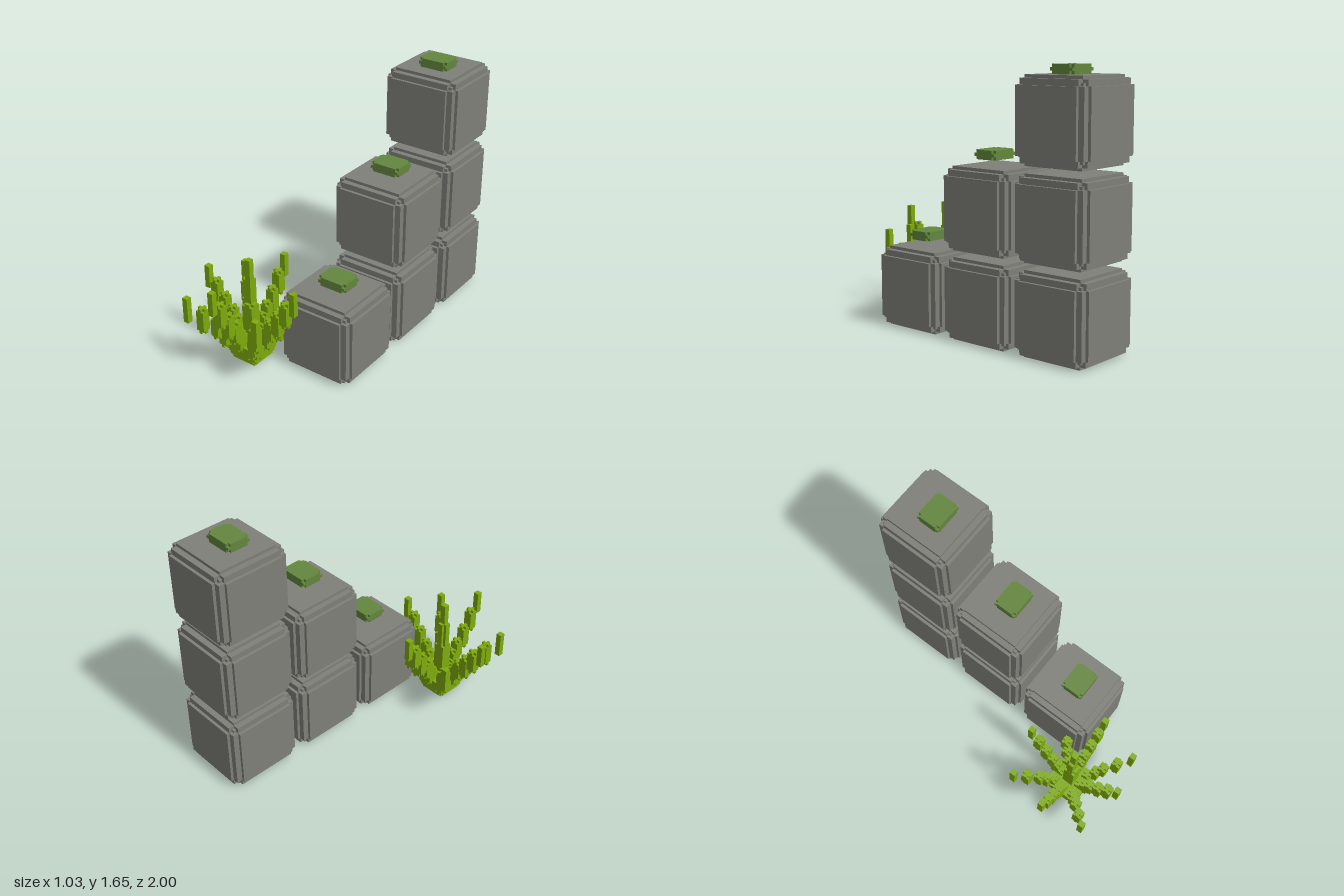
import * as THREE from 'three';
import { mergeGeometries } from 'three/addons/utils/BufferGeometryUtils.js';

const V = 0.0187; // voxel size

function box(w, h, d, x = 0, y = 0, z = 0) {
  return new THREE.BoxGeometry(w, h, d).translate(x, y, z);
}

// Box with its eight corner voxels removed
function chipped(w, h, d, x = 0, y = 0, z = 0) {
  return [
    box(w, h, d - 2 * V, x, y, z),
    box(w - 2 * V, h, d, x, y, z),
    box(w, h - 2 * V, d, x, y, z),
  ];
}

// Stone cube with stepped edges: union of boxes inset by different voxel counts
function stoneGeometry(size) {
  const s = (n) => size - 2 * n * V;
  const parts = [box(s(2), s(2), s(2))];
  for (const [a, b, c] of [[0, 3, 3], [3, 0, 3], [3, 3, 0], [1, 1, 3], [1, 3, 1], [3, 1, 1]]) {
    parts.push(box(s(a), s(b), s(c)));
  }
  return mergeGeometries(parts);
}

export function createModel() {
  const model = new THREE.Group();
  model.name = 'stoneStepsWithPlant';
  const stone = new THREE.MeshStandardMaterial({ color: 0x80807a });
  stone.name = 'stoneGrey';
  const moss = new THREE.MeshStandardMaterial({ color: 0x64873f });
  moss.name = 'mossGreen';
  const leaf = new THREE.MeshStandardMaterial({ color: 0x7fab0c });
  leaf.name = 'leafGreen';

  function add(name, geometry, material, parent, x = 0, y = 0, z = 0) {
    const mesh = new THREE.Mesh(geometry, material);
    mesh.name = name;
    mesh.position.set(x, y, z);
    parent.add(mesh);
  }

  // Staircase of stone blocks, one to three high
  const size = 0.505;
  const stoneGeo = stoneGeometry(size);
  [0.345, -0.202, -0.747].forEach((z, column) => {
    for (let row = 0; row <= column; row++) {
      add('stoneBlock', stoneGeo, stone, model, 0.259, size / 2 + row * 0.546, z);
    }
  });

  // Moss clump hovering over each step
  const mossGeo = mergeGeometries(chipped(0.193, 3 * V, 0.152));
  for (const [x, y, z] of [[0.28, 0.576, 0.36], [0.28, 1.12, -0.183], [0.262, 1.625, -0.726]]) {
    add('mossClump', mossGeo, moss, model, x, y, z);
  }

  // Plant
  const plant = new THREE.Group();
  plant.name = 'plant';
  plant.position.set(-0.168, 0, 0.65);
  model.add(plant);

  // Stepped root and central stalk
  add('plantBase', mergeGeometries([
    box(0.15, 0.1, 0.15, 0, 0.05, 0),
    ...chipped(0.19, 0.11, 0.19, 0, 0.075, 0),
    ...chipped(0.24, 0.08, 0.17, 0, 0.1, 0),
    ...chipped(0.17, 0.08, 0.24, 0, 0.1, 0),
  ]), leaf, plant);
  add('centreStalk', mergeGeometries([
    box(0.037, 0.6, 0.037, 0, 0.4, 0),
    box(0.055, 0.46, 0.037, -0.009, 0.33, 0),
    box(0.037, 0.46, 0.055, 0, 0.33, -0.009),
    ...chipped(0.075, 0.3, 0.075, 0, 0.25, 0),
  ]), leaf, plant);

  // Arms rise outwards; each step is [offset, bottom, top]
  const steps = [
    [0.08, 0.06, 0.2], [0.115, 0.1, 0.26], [0.148, 0.165, 0.32],
    [0.207, 0.215, 0.39], [0.27, 0.3, 0.47], [0.332, 0.39, 0.545],
  ];
  // [x direction, z direction, extra rise at the tip]
  const arms = [
    [-1, 0, 0], [1, 0, 0.04], [0, -1, 0.04], [0, 1, 0.095],
    [-1, -1, 0], [-1, 1, 0], [1, 1, 0.045], [1, -1, 0.03],
  ];
  for (const [dx, dz, rise] of arms) {
    const count = dx && dz ? 5 : 6; // diagonal arms stop one step sooner
    const parts = [];
    steps.slice(0, count).forEach(([r, low, high], i) => {
      const lift = rise * (r / steps[count - 1][0]) ** 2;
      const y = (low + high) / 2 + lift;
      if (i === count - 1) parts.push(box(0.037, high - low, 0.037, dx * r, y, dz * r));
      else parts.push(...chipped(0.056, high - low, 0.056, dx * r, y, dz * r));
    });
    add('plantArm', mergeGeometries(parts), leaf, plant);
  }
  return model;
}
